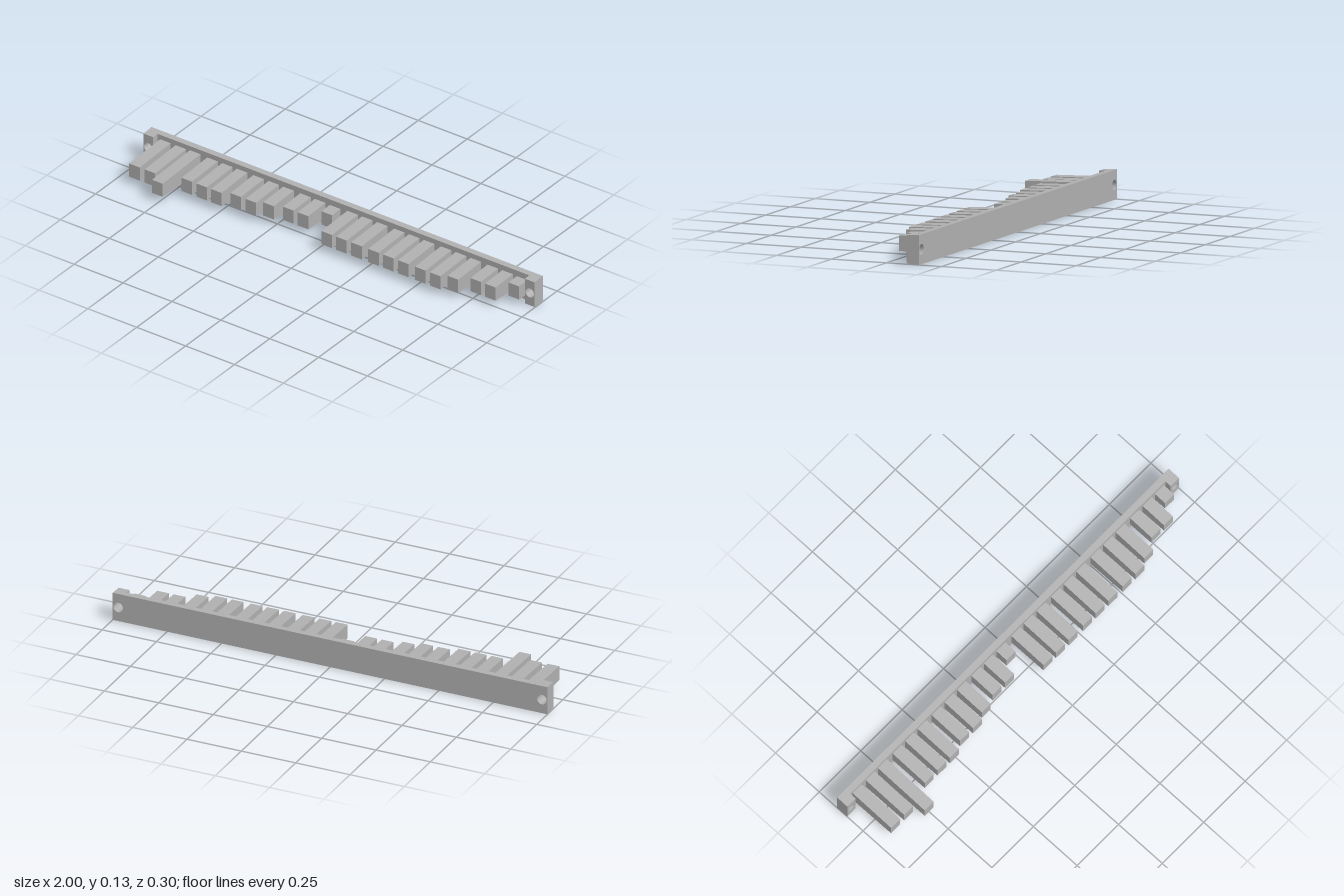
import * as THREE from 'three';

const MID = 0.063;                       // mid height of the strip
const BACK = -0.148, PLATE = -0.12;      // back face and front face of the strip
const DRAFT = 0.034;                     // moulding taper per unit of depth

const gray = new THREE.MeshStandardMaterial({ color: 0xb0b0b0 });
gray.name = 'gray';

// Box along z whose height shrinks towards the front
function draftedBox(width, frontHalf, z0, z1) {
  const depth = z1 - z0;
  const geo = new THREE.BoxGeometry(width, 2, depth);
  const p = geo.attributes.position;
  for (let i = 0; i < p.count; i++) {
    const half = frontHalf + (p.getZ(i) < 0 ? DRAFT * depth : 0);
    p.setY(i, Math.sign(p.getY(i)) * half);
  }
  geo.translate(0, 0, (z0 + z1) / 2);
  geo.computeVertexNormals();
  return geo;
}

// End block with a screw hole running through it
function endBlockGeometry() {
  const w = 0.025, h = 0.063, depth = 0.058;
  const shape = new THREE.Shape();
  shape.moveTo(-w, -h).lineTo(w, -h).lineTo(w, h).lineTo(-w, h).closePath();
  const hole = new THREE.Path();
  hole.absarc(0, 0, 0.022, 0, Math.PI * 2, true);
  shape.holes.push(hole);
  const geo = new THREE.ExtrudeGeometry(shape, { depth, bevelEnabled: false, curveSegments: 16 });
  const p = geo.attributes.position;
  for (let i = 0; i < p.count; i++) {
    const y = p.getY(i);
    if (Math.abs(y) > 0.05) p.setY(i, y - Math.sign(y) * 0.05 * p.getZ(i));
  }
  geo.translate(0, 0, BACK);
  geo.computeVertexNormals();
  return geo;
}

export function createModel() {
  const model = new THREE.Group();
  model.name = 'toothedStrip';
  const add = (name, geo, x, y = MID) => {
    const mesh = new THREE.Mesh(geo, gray);
    mesh.name = name;
    mesh.position.set(x, y, 0);
    model.add(mesh);
  };

  // Backing strip between the end blocks
  add('backPlate', draftedBox(1.9, 0.062, BACK, PLATE), 0);

  // Mounting blocks
  const block = endBlockGeometry();
  add('leftEndBlock', block, 0.975);
  add('rightEndBlock', block, -0.975);

  // Teeth: [centre x, front z]
  const teeth = [
    [-0.909, 0.10], [-0.83, 0.10], [-0.757, 0.148],
    [-0.668, 0.064], [-0.592, 0.064], [-0.517, 0.064],
    [-0.433, 0.043], [-0.355, 0.043], [-0.28, 0.022],
    [-0.193, 0.002], [-0.118, 0.002], [-0.042, -0.062],
    [0.048, 0.064], [0.123, 0.064], [0.2, 0.064],
    [0.287, 0.064], [0.363, 0.064], [0.439, 0.064],
    [0.526, 0.064], [0.602, 0.064], [0.678, 0.043],
    [0.765, 0.002], [0.84, 0.002], [0.914, -0.062],
  ];
  teeth.forEach(([x, z], i) => add(`tooth${i + 1}`, draftedBox(0.054, 0.032, PLATE - 0.002, z), x, 0.064));

  return model;
}
